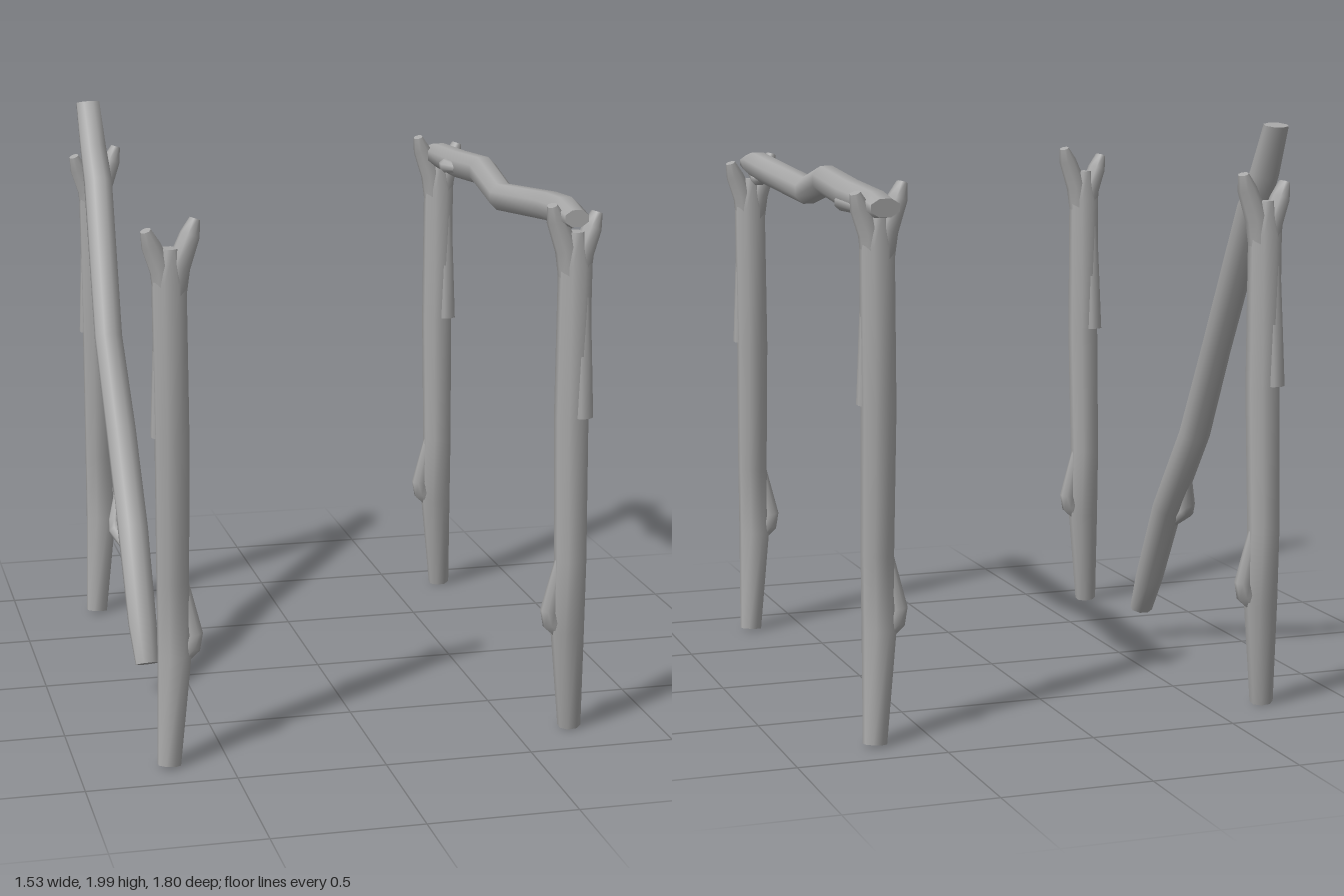
import * as THREE from 'three';

const SIDES = 8;
const wood = new THREE.MeshStandardMaterial({ color: 0xa8a8a8 });
wood.name = 'greyWood';

// Loft of elliptical rings along a path; each point is [x, y, z, radiusX, radiusAcross]
function limb(name, pts) {
  const pos = [], idx = [], n = pts.length;
  const centres = pts.map(p => new THREE.Vector3(p[0], p[1], p[2]));
  const X = new THREE.Vector3(1, 0, 0);
  centres.forEach((c, i) => {
    const t = centres[Math.min(i + 1, n - 1)].clone().sub(centres[Math.max(i - 1, 0)]).normalize();
    const v = new THREE.Vector3().crossVectors(t, X).normalize();
    const u = new THREE.Vector3().crossVectors(v, t);
    const ru = pts[i][3], rv = pts[i][4] ?? ru;
    for (let j = 0; j < SIDES; j++) {
      const a = (j + 0.5) / SIDES * Math.PI * 2;
      const q = c.clone().addScaledVector(u, Math.cos(a) * ru).addScaledVector(v, Math.sin(a) * rv);
      pos.push(q.x, q.y, q.z);
    }
  });
  for (let i = 0; i < n - 1; i++) for (let j = 0; j < SIDES; j++) {
    const k = (j + 1) % SIDES;
    const a = i * SIDES + j, b = i * SIDES + k, c = b + SIDES, d = a + SIDES;
    idx.push(a, b, c, a, c, d);
  }
  // flat sawn ends with their own vertices
  for (const end of [0, n - 1]) {
    const base = pos.length / 3;
    pos.push(...pos.slice(end * SIDES * 3, (end + 1) * SIDES * 3));
    for (let j = 1; j < SIDES - 1; j++) {
      if (end === 0) idx.push(base, base + j + 1, base + j);
      else idx.push(base, base + j, base + j + 1);
    }
  }
  const g = new THREE.BufferGeometry();
  g.setAttribute('position', new THREE.Float32BufferAttribute(pos, 3));
  g.setIndex(idx);
  g.computeVertexNormals();
  const m = new THREE.Mesh(g, wood);
  m.name = name;
  return m;
}

// Upright post with a forked top
function forkedPost(name) {
  const g = new THREE.Group();
  g.name = name;
  g.add(
    limb('trunk', [
      [0.03, 0.008, -0.025, 0.04, 0.038],
      [0.0, 0.37, 0.02, 0.058, 0.048],
      [0.0, 0.62, 0.033, 0.055, 0.05],
      [0.0, 1.1, 0.008, 0.058, 0.052],
      [0.004, 1.62, 0.0, 0.058, 0.046],
      [0.002, 1.73, 0.0, 0.03, 0.034],
    ]),
    limb('innerFork', [
      [-0.005, 1.56, 0, 0.045, 0.04],
      [-0.026, 1.67, 0, 0.04, 0.037],
      [-0.066, 1.77, 0.005, 0.033, 0.033],
      [-0.083, 1.82, 0.01, 0.017, 0.025],
    ]),
    limb('outerFork', [
      [0.01, 1.56, 0, 0.045, 0.04],
      [0.028, 1.66, 0, 0.038, 0.037],
      [0.06, 1.74, -0.005, 0.033, 0.033],
      [0.078, 1.79, -0.01, 0.018, 0.025],
    ]),
    limb('brokenTwig', [
      [-0.02, 0.35, 0.015, 0.02, 0.02],
      [-0.05, 0.40, 0.02, 0.04, 0.03],
      [-0.065, 0.44, 0.02, 0.032, 0.026],
      [-0.025, 0.64, 0.03, 0.022, 0.015],
    ]),
    limb('splitBark', [
      [0.03, 1.11, 0.033, 0.036, 0.036],
      [0.028, 1.3, 0.024, 0.033, 0.03],
      [0.025, 1.68, 0.005, 0.025, 0.02],
    ]),
  );
  return g;
}

export function createModel() {
  const model = new THREE.Group();
  model.name = 'stickFrame';

  // four posts; the right-hand pair is turned half round
  for (const side of [1, -1]) for (const end of [1, -1]) {
    const post = forkedPost((end > 0 ? 'front' : 'back') + (side > 0 ? 'Left' : 'Right') + 'Post');
    post.position.set(0.67 * side, 0, 0.823 * end);
    if (side < 0) post.rotation.y = Math.PI;
    model.add(post);
  }

  // crossbar resting in two forks
  const bar = new THREE.Group();
  bar.name = 'crossbar';
  bar.add(
    limb('barPole', [
      [0.65, 1.785, 0.9, 0.042, 0.03],
      [0.66, 1.785, 0.75, 0.054, 0.05],
      [0.665, 1.775, 0.58, 0.056, 0.05],
      [0.642, 1.732, 0.11, 0.05, 0.05],
      [0.65, 1.786, -0.16, 0.053, 0.052],
      [0.663, 1.76, -0.5, 0.056, 0.052],
      [0.672, 1.75, -0.82, 0.054, 0.046],
      [0.667, 1.745, -0.895, 0.052, 0.032],
    ]),
    limb('barTwig', [
      [0.635, 1.76, -0.38, 0.015, 0.015],
      [0.6, 1.76, -0.45, 0.03, 0.025],
      [0.605, 1.76, -0.475, 0.03, 0.025],
      [0.635, 1.76, -0.53, 0.02, 0.02],
    ]),
    limb('barKnot', [
      [0.665, 1.765, 0.82, 0.02, 0.02],
      [0.67, 1.735, 0.71, 0.025, 0.025],
      [0.67, 1.735, 0.68, 0.025, 0.022],
      [0.665, 1.75, 0.6, 0.02, 0.015],
    ]),
    limb('barSplitBark', [
      [0.69, 1.735, -0.5, 0.032, 0.028],
      [0.695, 1.735, -0.85, 0.026, 0.02],
    ]),
  );
  model.add(bar);

  // fallen pole leaning against one post
  const pole = new THREE.Group();
  pole.name = 'leaningPole';
  pole.add(
    limb('poleShaft', [
      [-0.66, 0.12, 0.172, 0.043, 0.032],
      [-0.665, 0.25, 0.11, 0.052, 0.045],
      [-0.668, 0.55, -0.05, 0.056, 0.05],
      [-0.67, 0.86, -0.28, 0.056, 0.05],
      [-0.69, 1.18, -0.41, 0.052, 0.05],
      [-0.67, 1.7, -0.735, 0.054, 0.05],
      [-0.675, 1.82, -0.81, 0.05, 0.042],
      [-0.682, 1.982, -0.878, 0.046, 0.02],
    ]),
    limb('poleTwig', [
      [-0.69, 0.48, -0.03, 0.015, 0.015],
      [-0.72, 0.54, -0.1, 0.03, 0.025],
      [-0.718, 0.57, -0.115, 0.028, 0.025],
      [-0.69, 0.7, -0.16, 0.02, 0.02],
    ]),
  );
  model.add(pole);
  return model;
}
